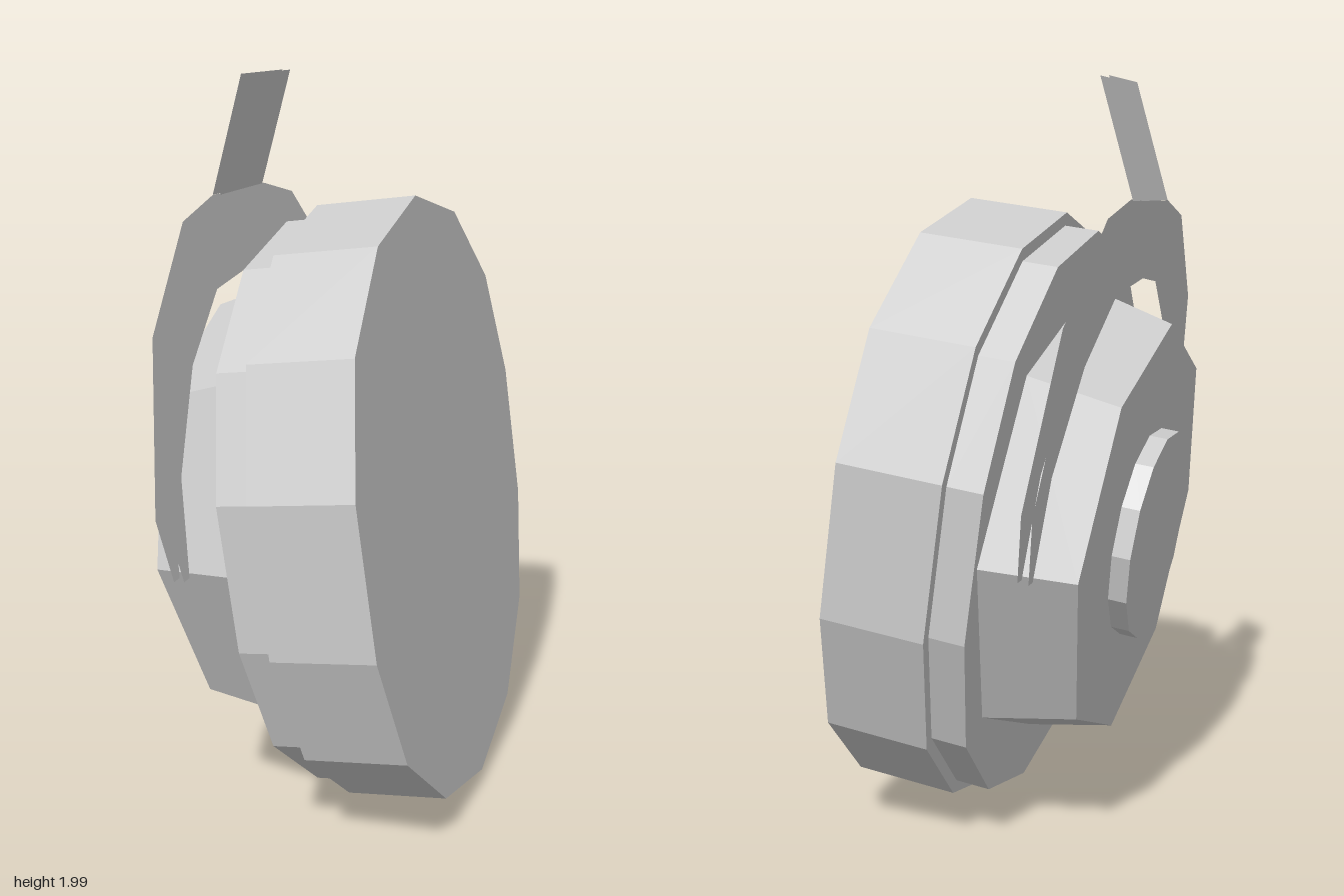
import * as THREE from 'three';

const solid = new THREE.MeshStandardMaterial({ color: 0xcccccc, flatShading: true });
const sheet = new THREE.MeshStandardMaterial({ color: 0xcccccc, flatShading: true, side: THREE.DoubleSide });

// Half outlines as [side, up], from top to bottom
const rimHalf = [[0, 0.83], [0.33, 0.745], [0.577, 0.52], [0.69, 0.2],
  [0.69, -0.2], [0.577, -0.52], [0.33, -0.745], [0, -0.83]];
const bracketOuter = [[0, 0.895], [0.14, 0.895], [0.33, 0.85], [0.58, 0.6], [0.71, 0.174], [0.67, 0]];
const bracketInner = [[0.64, 0], [0.6, 0.25], [0.45, 0.5], [0.25, 0.66], [0, 0.69]];

const mirror = pts => pts.map(([a, b]) => [-a, b]).reverse();
const toShape = pts => new THREE.Shape(pts.map(([a, b]) => new THREE.Vector2(a, b)));

function add(group, name, geometry, material) {
  const mesh = new THREE.Mesh(geometry, material);
  mesh.name = name;
  group.add(mesh);
  return mesh;
}

// Fourteen-sided slab along the lamp axis (local x)
function rimSlab(scale, back, depth) {
  const half = rimHalf.map(([a, b]) => [a * scale, b * scale]);
  const pts = [...half, ...mirror(half).slice(1, -1)];
  return new THREE.ExtrudeGeometry(toShape(pts), { depth, bevelEnabled: false })
    .rotateY(Math.PI / 2).translate(back, 0, 0);
}

// Cylinder or frustum along the lamp axis
function drum(frontRadius, backRadius, back, depth, sides) {
  return new THREE.CylinderGeometry(frontRadius, backRadius, depth, sides)
    .rotateZ(-Math.PI / 2).translate(back + depth / 2, 0, 0);
}

export function createModel() {
  const model = new THREE.Group();
  model.name = 'floodlight';

  // Lamp head, tipped slightly upwards
  const lamp = new THREE.Group();
  lamp.name = 'lampHead';
  lamp.position.set(0.2875, 0.868, 0);
  lamp.rotation.z = Math.atan2(0.225, 1.645);
  model.add(lamp);

  add(lamp, 'frontRim', rimSlab(1, -0.28, 0.28), solid);
  add(lamp, 'rearRim', rimSlab(0.957, -0.375, 0.095), solid);
  add(lamp, 'housing', drum(0.64, 0.58, -0.613, 0.238, 8), solid);
  add(lamp, 'backCap', drum(0.29, 0.29, -0.663, 0.05, 14), solid);

  // Half-ring bracket made of two thin sheets
  const half = [...bracketOuter, ...bracketInner];
  const outline = [...half, ...mirror(half).slice(1, -1)];
  for (const d of [-0.518, -0.49]) {
    add(lamp, 'bracketSheet', new THREE.ShapeGeometry(toShape(outline))
      .rotateY(Math.PI / 2).translate(d, 0, 0), sheet);
  }

  // Hanger tab, two sheets leaning forward from the bracket
  const rise = 0.315, lean = 0.09;
  for (const x of [-0.347, -0.324]) {
    const tab = add(model, 'hangerSheet', new THREE.PlaneGeometry(0.275, Math.hypot(rise, lean))
      .rotateY(Math.PI / 2), sheet);
    tab.position.set(x + lean / 2, 1.685 + rise / 2, 0);
    tab.rotation.z = -Math.atan2(lean, rise);
  }
  return model;
}
